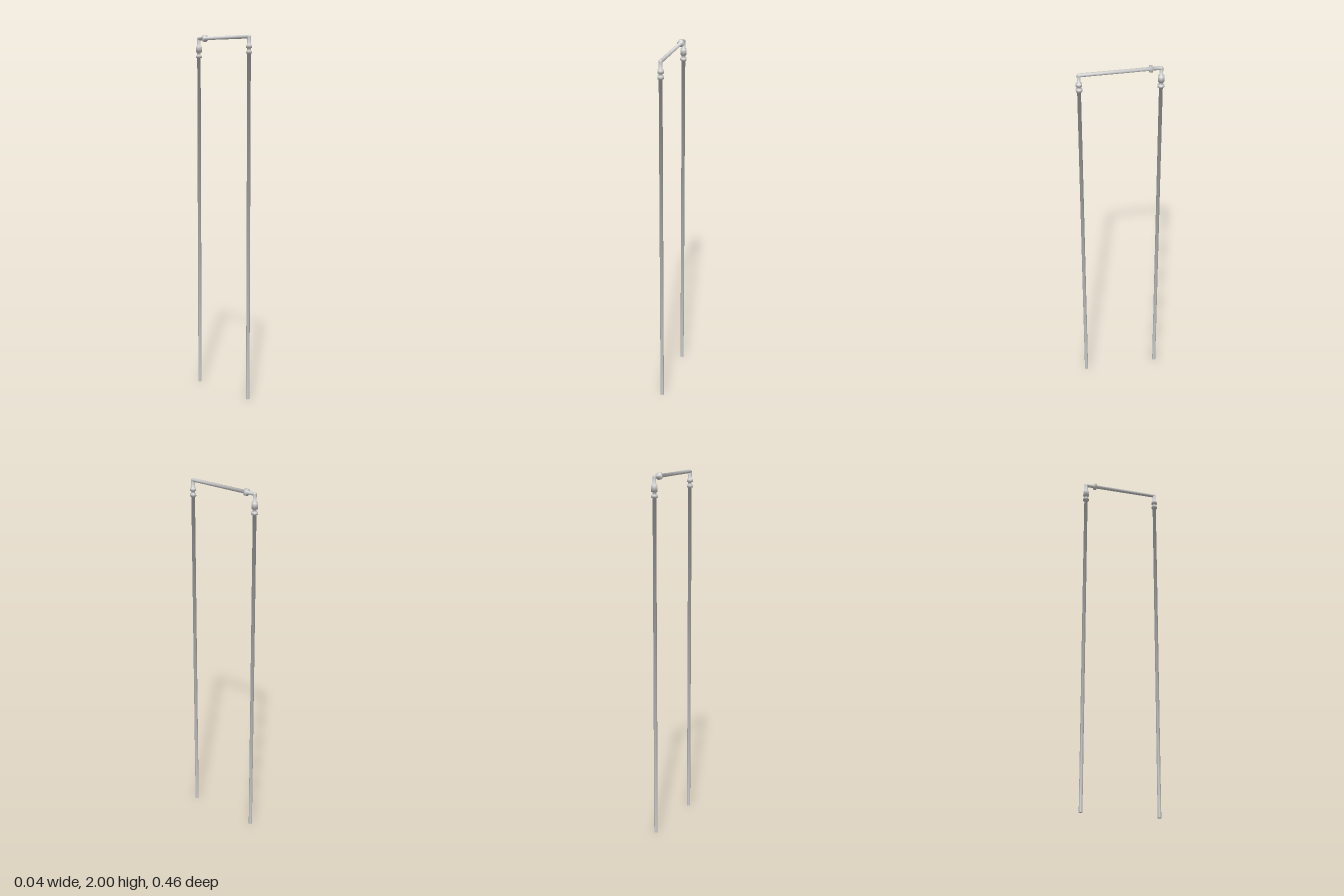
import * as THREE from 'three';

const material = new THREE.MeshStandardMaterial({ color: 0xcccccc });
const R = 0.0097;      // pipe radius
const TOP = 1.981;     // axis height of the crossbar
const Z = 0.211;       // leg distance from centre
const SIDES = 24;

function part(name, geometry, y, z) {
  const mesh = new THREE.Mesh(geometry, material);
  mesh.name = name;
  mesh.position.set(0, y, z);
  return mesh;
}

// Turned pipe whose normals blend evenly across every step of the profile,
// so the shading runs softly from each collar along the pipe
function turnedPipe(profile) {
  const points = profile.map(([r, y]) => new THREE.Vector2(r, y));
  const geometry = new THREE.LatheGeometry(points, SIDES);
  const faces = points.slice(1).map((p, i) => {
    const d = p.clone().sub(points[i]).normalize();
    return new THREE.Vector2(d.y, -d.x);
  });
  const blended = points.map((_, j) => {
    const before = faces[Math.max(j - 1, 0)];
    const after = faces[Math.min(j, faces.length - 1)];
    return before.clone().add(after).normalize();
  });
  const normals = geometry.attributes.normal;
  for (let i = 0; i <= SIDES; i++) {
    const a = (i / SIDES) * Math.PI * 2;
    blended.forEach((n, j) => {
      normals.setXYZ(i * points.length + j, n.x * Math.sin(a), n.y, n.x * Math.cos(a));
    });
  }
  return geometry;
}

// Profile of a straight pipe with square-edged collars given as [radius, start, end]
function pipeProfile(start, end, collars) {
  const steps = collars.flatMap(([r, a, b]) => [[R, a], [r, a], [r, b], [R, b]]);
  return [[R, start], ...steps, [R, end]];
}

export function createModel() {
  const model = new THREE.Group();
  model.name = 'pipeLoop';

  // Front union has two equal collars, back union a thin ring below a tall coupling
  const legs = [
    ['front', Z, [[0.0165, 1.892, 1.907], [0.0165, 1.922, 1.937]]],
    ['back', -Z, [[0.0175, 1.875, 1.887], [0.0165, 1.905, 1.938]]],
  ];
  for (const [side, z, collars] of legs) {
    model.add(part(side + 'Leg', turnedPipe(pipeProfile(0, TOP, collars)), 0, z));
    // Closed foot of the leg
    model.add(part(side + 'Foot', new THREE.CircleGeometry(R, SIDES).rotateX(Math.PI / 2), 0, z));
    // Tight elbow into the crossbar
    model.add(part(side + 'Elbow', new THREE.SphereGeometry(R, SIDES, 16), TOP, z));
  }

  // Crossbar with a ring near its back end
  const bar = turnedPipe(pipeProfile(-Z, Z, [[0.019, -0.164, -0.15]]));
  model.add(part('crossbar', bar.rotateX(Math.PI / 2), TOP, 0));

  return model;
}
